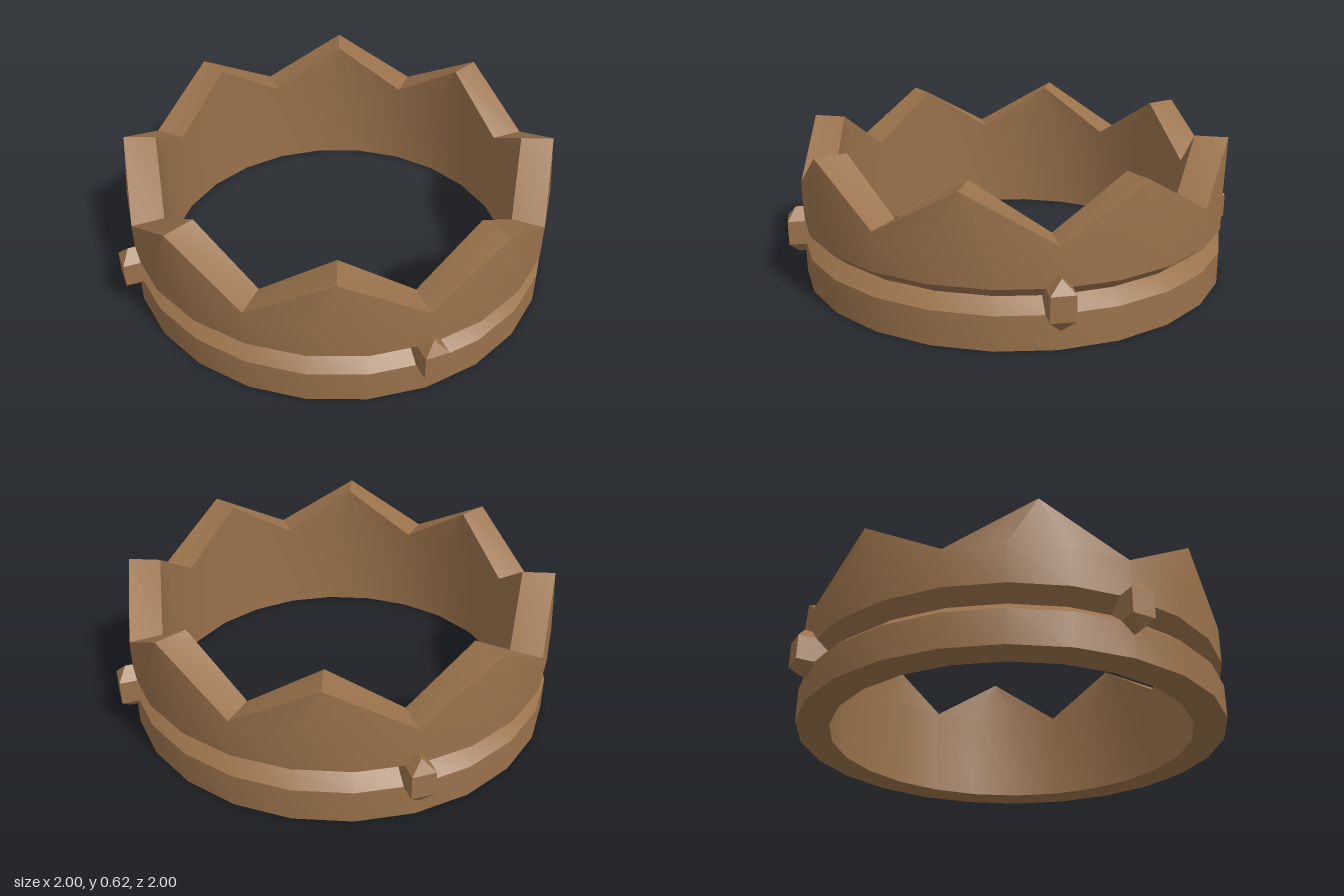
import * as THREE from 'three';
import { mergeGeometries, toCreasedNormals } from 'three/addons/utils/BufferGeometryUtils.js';
import { ConvexGeometry } from 'three/addons/geometries/ConvexGeometry.js';

const OUTER = 0.932, INNER = 0.792, GROOVE = 0.87;
const VALLEY = 0.415, PEAK = 0.62;
const SIDES = 24, POINTS = 8;

// point on the ring, angle measured from +z towards +x
const ringPoint = (angle, r, y) => [r * Math.sin(angle), y, r * Math.cos(angle)];

// band with a V groove: inner wall, underside, outer wall
function bandGeometry() {
  const profile = [
    [INNER, VALLEY], [INNER, 0], [OUTER, 0], [OUTER, 0.145],
    [GROOVE, 0.197], [OUTER, 0.25], [OUTER, VALLEY],
  ].map(([r, y]) => new THREE.Vector2(r, y));
  const g = new THREE.LatheGeometry(profile, SIDES).toNonIndexed();
  g.deleteAttribute('uv');
  g.deleteAttribute('normal');
  return g;
}

// pointed teeth: each wall is a fan up to the tip, joined by sloping rims
function teethGeometry() {
  const pos = [];
  const tri = (a, b, c) => pos.push(...a, ...b, ...c);
  const quad = (a, b, c, d) => { tri(a, b, c); tri(a, c, d); };
  const step = (2 * Math.PI) / SIDES, perTooth = SIDES / POINTS;

  for (let i = 0; i < POINTS; i++) {
    const start = i * perTooth * step;
    const end = start + perTooth * step;
    const mid = (start + end) / 2;
    const tipOut = ringPoint(mid, OUTER, PEAK);
    const tipIn = ringPoint(mid, INNER, PEAK);
    for (let k = 0; k < perTooth; k++) {
      const a = start + k * step, b = a + step;
      tri(ringPoint(a, OUTER, VALLEY), ringPoint(b, OUTER, VALLEY), tipOut);
      tri(ringPoint(b, INNER, VALLEY), ringPoint(a, INNER, VALLEY), tipIn);
    }
    quad(ringPoint(start, OUTER, VALLEY), tipOut, tipIn, ringPoint(start, INNER, VALLEY));
    quad(tipOut, ringPoint(end, OUTER, VALLEY), ringPoint(end, INNER, VALLEY), tipIn);
  }
  const g = new THREE.BufferGeometry();
  g.setAttribute('position', new THREE.Float32BufferAttribute(pos, 3));
  return g;
}

// hexagonal stud with its top and bottom corners set back from the face
function studGeometry() {
  const pts = [];
  for (const y of [0.145, 0.25])
    for (const x of [-0.05, 0.05])
      for (const z of [0.86, 1]) pts.push(new THREE.Vector3(x, y, z));
  for (const y of [0.095, 0.303])
    for (const z of [0.86, 0.963]) pts.push(new THREE.Vector3(0, y, z));
  return new ConvexGeometry(pts);
}

export function createModel() {
  const model = new THREE.Group();
  model.name = 'crown';
  const material = new THREE.MeshStandardMaterial({ color: 0x9a724b });

  // band and teeth share smooth normals around the ring
  const ring = mergeGeometries([bandGeometry(), teethGeometry()]);
  const crown = new THREE.Mesh(toCreasedNormals(ring, Math.PI / 7), material);
  crown.name = 'toothedBand';
  model.add(crown);

  // four studs over the groove
  const stud = studGeometry();
  ['frontStud', 'leftStud', 'backStud', 'rightStud'].forEach((name, i) => {
    const mesh = new THREE.Mesh(stud, material);
    mesh.name = name;
    mesh.rotation.y = (i * Math.PI) / 2;
    model.add(mesh);
  });
  return model;
}
